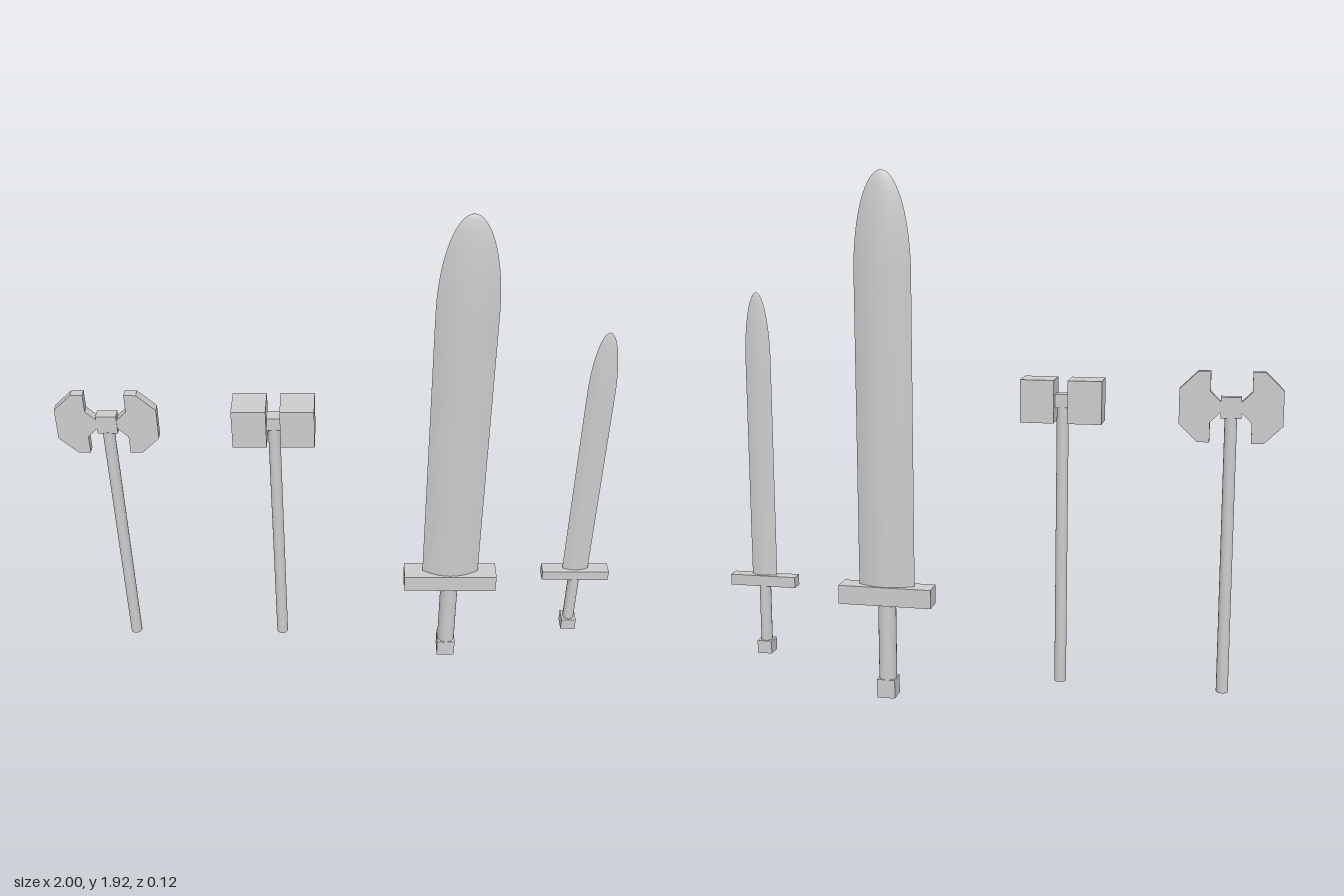
import * as THREE from 'three';
import { mergeGeometries } from 'three/addons/utils/BufferGeometryUtils.js';

const material = new THREE.MeshStandardMaterial({ color: 0xcccccc });

function add(parent, name, geometry, x = 0, y = 0, z = 0) {
  const mesh = new THREE.Mesh(geometry, material);
  mesh.name = name;
  mesh.position.set(x, y, z);
  parent.add(mesh);
  return mesh;
}

// box and round bar given by their bottom and top heights
const box = (parent, name, w, y0, y1, d, x = 0) =>
  add(parent, name, new THREE.BoxGeometry(w, y1 - y0, d), x, (y0 + y1) / 2);
const bar = (parent, name, r, y0, y1) =>
  add(parent, name, new THREE.CylinderGeometry(r, r, y1 - y0, 20), 0, (y0 + y1) / 2);

// lens-section blade: two bulged faces meeting at sharp edges, rounded to a tip
function bladeGeometry(halfWidth, halfDepth, y0, y1, tipLength) {
  const rows = 20;
  const face = new THREE.PlaneGeometry(2, 1, 16, rows);
  const p = face.attributes.position;
  const shoulder = y1 - tipLength;
  for (let i = 0; i < p.count; i++) {
    const u = p.getX(i);
    const row = Math.round((p.getY(i) + 0.5) * rows);
    const a = Math.max(0, (row - 1) / (rows - 1)) * Math.PI / 2;
    const y = row === 0 ? y0 : shoulder + tipLength * Math.sin(a);
    const s = row === rows ? 0 : Math.cos(a);
    p.setXYZ(i, u * halfWidth * s, y, halfDepth * s * (1 - u * u));
  }
  face.computeVertexNormals();
  return mergeGeometries([face, face.clone().rotateY(Math.PI)]);
}

function sword(name, x, s) {
  const g = new THREE.Group();
  g.name = name;
  g.position.x = x;
  box(g, 'pommel', s.pommel, s.bottom, s.gripBottom, s.pommel);
  bar(g, 'grip', s.gripRadius, s.gripBottom, s.guardBottom);
  box(g, 'guard', s.guardWidth, s.guardBottom, s.guardTop, s.guardDepth);
  add(g, 'blade', bladeGeometry(s.halfWidth, s.halfDepth, s.guardTop, s.top, s.tip));
  return g;
}

function axe() {
  const g = new THREE.Group();
  g.name = 'axe';
  g.position.x = -0.825;
  bar(g, 'axeHandle', 0.021, 0.105, 1.09);
  box(g, 'axeHub', 0.07, 1.085, 1.157, 0.038);
  // flared blade outline, upper half mirrored to the lower half
  const half = [[0.03, 0.02], [0.037, 0.02], [0.07, 0.053], [0.07, 0.122], [0.112, 0.122], [0.175, 0.06]];
  const outline = [...half.map(([x, y]) => [x, -y]), ...[...half].reverse()];
  const shape = new THREE.Shape(outline.map(([x, y]) => new THREE.Vector2(x, y)));
  const geometry = new THREE.ExtrudeGeometry(shape, { depth: 0.032, bevelEnabled: false });
  geometry.translate(0, 0, -0.016);
  add(g, 'leftAxeBlade', geometry, 0, 1.122);
  add(g, 'rightAxeBlade', geometry, 0, 1.122).rotation.y = Math.PI;
  return g;
}

function hammer() {
  const g = new THREE.Group();
  g.name = 'hammer';
  g.position.x = -0.248;
  bar(g, 'hammerHandle', 0.021, 0.105, 1.105);
  box(g, 'hammerHub', 0.054, 1.105, 1.153, 0.048);
  for (const side of [-1, 1]) {
    box(g, side > 0 ? 'leftHammerHead' : 'rightHammerHead', 0.118, 1.055, 1.205, 0.115, side * 0.083);
  }
  return g;
}

export function createModel() {
  const model = new THREE.Group();
  model.name = 'weaponSet';
  model.add(axe(), hammer());
  model.add(sword('longSword', 0.398, {
    bottom: 0, gripBottom: 0.07, guardBottom: 0.355, guardTop: 0.425, top: 1.92, tip: 0.36,
    pommel: 0.068, gripRadius: 0.033, guardWidth: 0.348, guardDepth: 0.078,
    halfWidth: 0.105, halfDepth: 0.033,
  }));
  model.add(sword('shortSword', 0.871, {
    bottom: 0.14, gripBottom: 0.188, guardBottom: 0.4, guardTop: 0.44, top: 1.49, tip: 0.25,
    pommel: 0.055, gripRadius: 0.021, guardWidth: 0.25, guardDepth: 0.048,
    halfWidth: 0.048, halfDepth: 0.012,
  }));
  return model;
}
